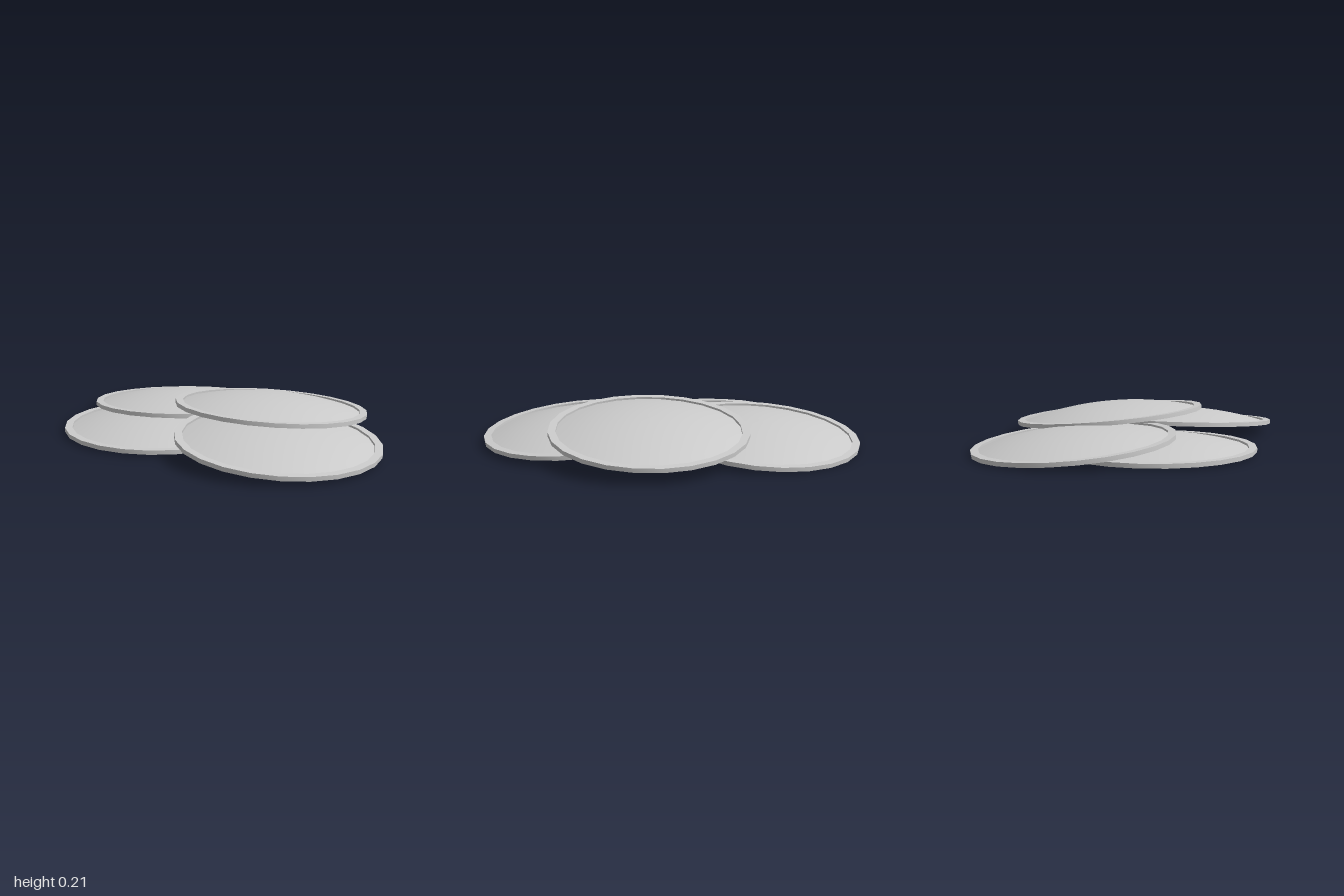
import * as THREE from 'three';
import { toCreasedNormals } from 'three/addons/utils/BufferGeometryUtils.js';

const SIDES = 24, OUTER = 0.56, INNER = 0.517, RIM = 0.024, SEAT = 0.012, DOME = 0.072;
const v2 = (r, y) => new THREE.Vector2(r, y);

// flat ring with a square section
function rimGeometry() {
  const profile = [v2(INNER, 0), v2(OUTER, 0), v2(OUTER, RIM), v2(INNER, RIM), v2(INNER, 0)];
  return toCreasedNormals(new THREE.LatheGeometry(profile, SIDES), 0.5);
}

// shallow thin dome seated inside the ring
function domeGeometry() {
  const profile = [];
  for (let i = 0; i <= 8; i++) {
    const t = 1 - i / 8;
    profile.push(v2(INNER * t, SEAT + DOME * (1 - t * t)));
  }
  return new THREE.LatheGeometry(profile, SIDES);
}

export function createModel() {
  const model = new THREE.Group();
  model.name = 'discPile';
  const rimMaterial = new THREE.MeshStandardMaterial({ color: 0xcccccc });
  const domeMaterial = new THREE.MeshStandardMaterial({ color: 0xcccccc, side: THREE.DoubleSide });
  const rimGeo = rimGeometry(), domeGeo = domeGeometry();

  // centre of each disc, its slope along x and z, and its spin
  const discs = [
    { name: 'bottomDisc', at: [-0.34, 0.01, -0.012], slope: [0, 0], spin: 0 },
    { name: 'backDisc', at: [-0.235, 0.048, -0.44], slope: [0, 0.086], spin: 0 },
    { name: 'frontDisc', at: [0.342, 0.06, 0.437], slope: [-0.06, -0.05], spin: 0.02 },
    { name: 'topDisc', at: [0.302, 0.12, -0.05], slope: [-0.058, 0.072], spin: 0.04 },
  ];
  const up = new THREE.Vector3(0, 1, 0);
  for (const d of discs) {
    const disc = new THREE.Group();
    disc.name = d.name;
    const rim = new THREE.Mesh(rimGeo, rimMaterial);
    rim.name = 'rim';
    const dome = new THREE.Mesh(domeGeo, domeMaterial);
    dome.name = 'dome';
    disc.add(rim, dome);
    disc.position.set(...d.at);
    const normal = new THREE.Vector3(-d.slope[0], 1, -d.slope[1]).normalize();
    disc.quaternion.setFromUnitVectors(up, normal);
    disc.rotateY(d.spin);
    model.add(disc);
  }
  return model;
}
